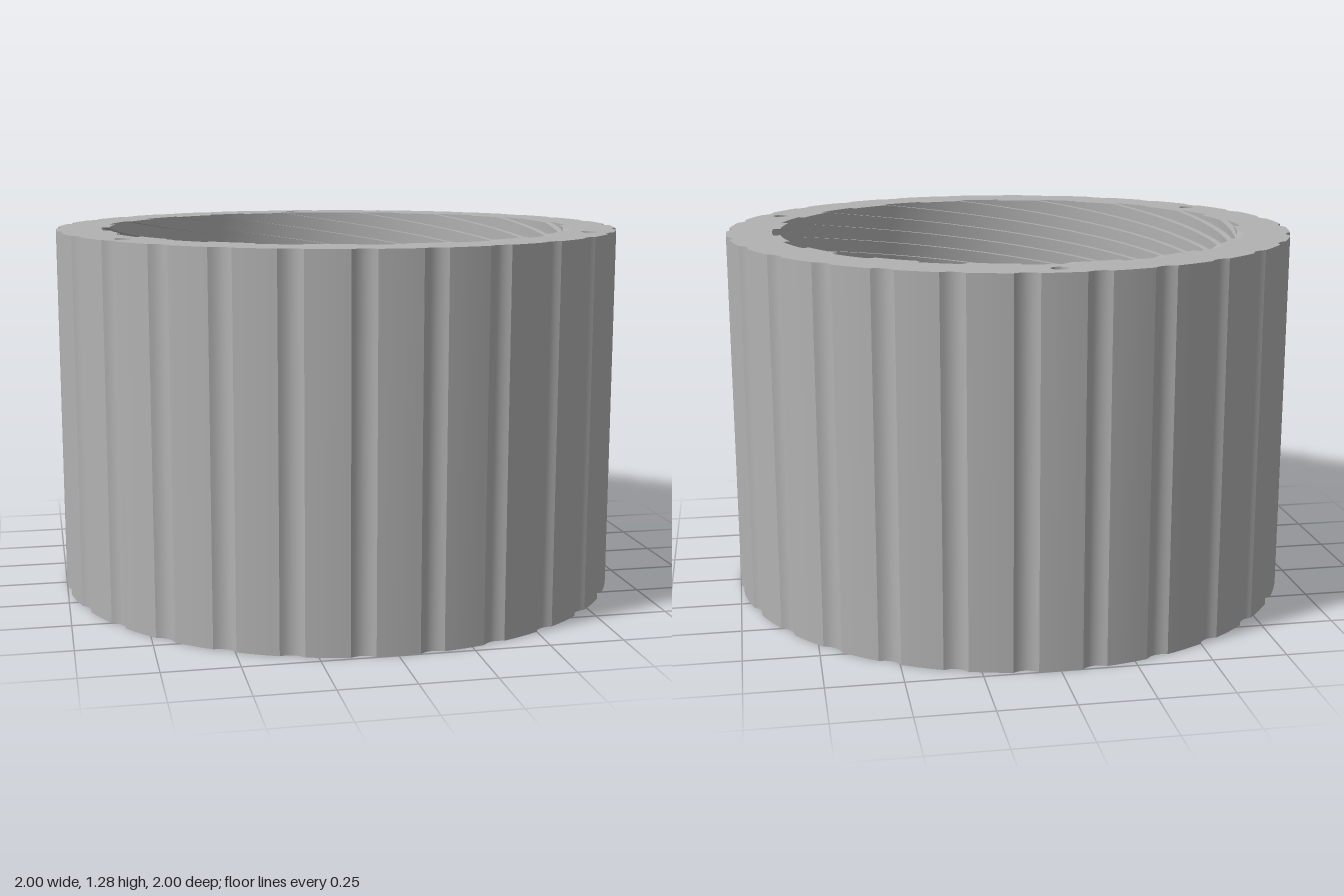
import * as THREE from 'three';
import { toCreasedNormals } from 'three/addons/utils/BufferGeometryUtils.js';

const TOP = 1.28, LIP = 0.08;                 // ring height, height of the smooth lip
const LIP_R = 0.81, RIDGE_R = 0.815, ROOT_R = 0.84;
const STARTS = 16, PITCH = 0.05, SUB = 12;    // multi-start square thread
const STEP = (Math.PI * 2) / (STARTS * SUB), DROP = PITCH / SUB, HALF = SUB / 2;
const RAD = Math.PI / 180;

// Angles run from the back (-z) towards +x.
const at = (a, r, y) => [r * Math.sin(a), y, -r * Math.cos(a)];
const flat = (a, r) => new THREE.Vector2(r * Math.sin(a), r * Math.cos(a));

// Collects quads, corners counter-clockwise from the visible side
function surface(fill, crease = 0.4) {
  const pos = [];
  fill((a, b, c, d) => pos.push(...a, ...b, ...c, ...a, ...c, ...d));
  const g = new THREE.BufferGeometry();
  g.setAttribute('position', new THREE.Float32BufferAttribute(pos, 3));
  return toCreasedNormals(g, crease);
}

// Grip outline: 28 ridges with shallow hollows between them
function gripOutline() {
  const pts = [], n = 28, period = (Math.PI * 2) / n, ridge = 4.1 * RAD, hollow = period / 2 - ridge;
  for (let i = 0; i < n; i++) {
    for (let j = -2; j <= 2; j++) pts.push([i * period + (ridge * j) / 2, 1]);
    for (let j = 1; j < 8; j++) {
      const u = j / 4 - 1;
      pts.push([(i + 0.5) * period + u * hollow, 1 - 0.015 * (1 - u * u)]);
    }
  }
  return pts;
}

const threadStart = (k) => 6.9 * RAD + k * STEP * SUB;

// Inner outline of the top face, stepped where the grooves run out
function threadOutline() {
  const pts = [];
  for (let k = 0; k < STARTS; k++) {
    for (let j = -HALF; j <= 0; j++) pts.push(flat(threadStart(k) + j * STEP, ROOT_R));
    for (let j = 0; j <= HALF; j++) pts.push(flat(threadStart(k) + j * STEP, RIDGE_R));
  }
  return pts;
}

const circle = (x, y, r, n) => Array.from({ length: n }, (_, i) => {
  const p = flat((i / n) * Math.PI * 2, r);
  return p.set(p.x + x, p.y + y);
});

function thread(quad) {
  const clampY = (y) => Math.min(TOP, Math.max(LIP, y));
  const inside = (y) => y < TOP + 1e-6 && y > LIP - 1e-6;
  const total = Math.round((TOP - LIP) / DROP);
  for (let k = 0; k < STARTS; k++) {
    for (let j = -SUB; j < total; j++) {
      const a = threadStart(k) + j * STEP, b = a + STEP;
      const y = TOP - j * DROP;
      const wall = (r, hi) => {
        const lo = hi - HALF * DROP;
        const a0 = clampY(lo), a1 = clampY(hi), b0 = clampY(lo - DROP), b1 = clampY(hi - DROP);
        if (a1 - a0 + b1 - b0 > 1e-6) quad(at(a, r, a0), at(b, r, b0), at(b, r, b1), at(a, r, a1));
      };
      const mid = y - HALF * DROP;
      wall(ROOT_R, y);      // groove floor
      wall(RIDGE_R, mid);   // ridge below it
      // underside of the ridge above the groove
      if (inside(y) && inside(y - DROP)) {
        quad(at(a, ROOT_R, y), at(b, ROOT_R, y - DROP), at(b, RIDGE_R, y - DROP), at(a, RIDGE_R, y));
      }
      // upper side of the ridge below the groove
      if (inside(mid) && inside(mid - DROP)) {
        quad(at(a, RIDGE_R, mid), at(b, RIDGE_R, mid - DROP), at(b, ROOT_R, mid - DROP), at(a, ROOT_R, mid));
      }
    }
  }
}

export function createModel() {
  const model = new THREE.Group();
  model.name = 'threadedRing';
  const grey = new THREE.MeshStandardMaterial({ color: 0xb2b2b2, side: THREE.DoubleSide });
  grey.name = 'grey';
  const add = (name, geometry) => {
    const mesh = new THREE.Mesh(geometry, grey);
    mesh.name = name;
    model.add(mesh);
    return mesh;
  };

  // Fluted outer wall
  const grip = gripOutline();
  add('gripWall', surface((quad) => grip.forEach(([a, r], i) => {
    const [b, s] = grip[(i + 1) % grip.length];
    quad(at(b, s, 0), at(a, r, 0), at(a, r, TOP), at(b, s, TOP));
  })));

  // Internal thread and the smooth lip under it
  add('innerThread', surface(thread));
  add('bottomLip', surface((quad) => {
    const n = 192;
    for (let i = 0; i < n; i++) {
      const a = (i / n) * Math.PI * 2, b = ((i + 1) / n) * Math.PI * 2;
      quad(at(a, LIP_R, 0), at(b, LIP_R, 0), at(b, LIP_R, LIP), at(a, LIP_R, LIP));
      quad(at(a, LIP_R, LIP), at(b, LIP_R, LIP), at(b, ROOT_R, LIP), at(a, ROOT_R, LIP));
    }
  }));

  // End faces; the top one has three pin holes
  const outline = grip.map(([a, r]) => flat(a, r));
  const pins = [0, 120, 240].map((d) => flat(d * RAD, 0.92));
  const holeR = 0.028, holeDepth = 0.15;
  const top = new THREE.Shape(outline);
  top.holes.push(new THREE.Path(threadOutline()));
  pins.forEach((p) => top.holes.push(new THREE.Path(circle(p.x, p.y, holeR, 24))));
  add('topFace', new THREE.ShapeGeometry(top).rotateX(-Math.PI / 2).translate(0, TOP, 0));

  const bottom = new THREE.Shape(outline);
  bottom.holes.push(new THREE.Path(circle(0, 0, LIP_R, 192)));
  add('bottomFace', new THREE.ShapeGeometry(bottom).rotateX(Math.PI / 2));

  // Blind pin holes
  pins.forEach((p) => {
    const wall = new THREE.CylinderGeometry(holeR, holeR, holeDepth, 24, 1, true).scale(-1, 1, 1);
    add('pinHoleWall', toCreasedNormals(wall, 0.5)).position.set(p.x, TOP - holeDepth / 2, -p.y);
    add('pinHoleFloor', new THREE.CircleGeometry(holeR, 24).rotateX(-Math.PI / 2))
      .position.set(p.x, TOP - holeDepth, -p.y);
  });

  return model;
}
